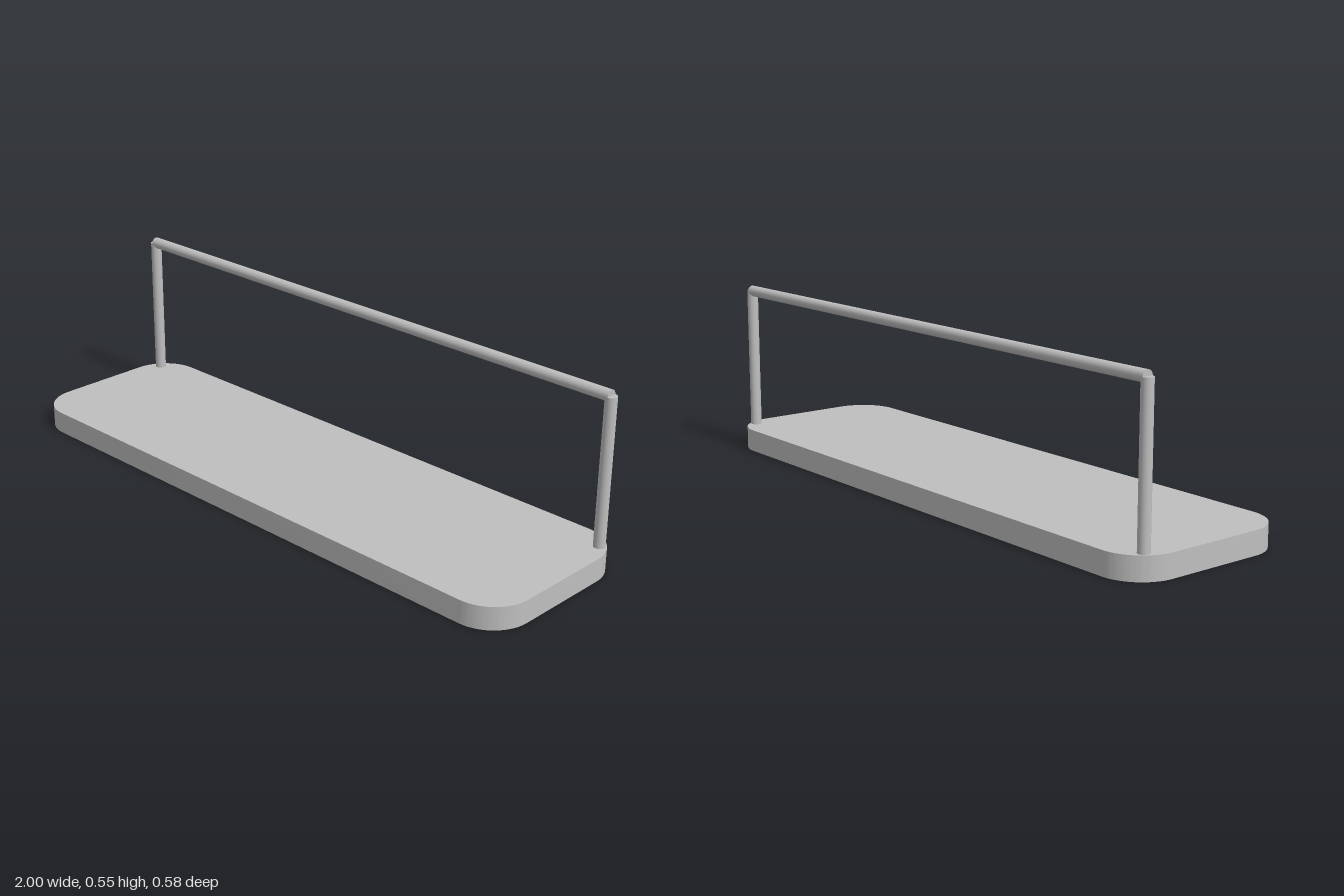
import * as THREE from 'three';
import { toCreasedNormals } from 'three/addons/utils/BufferGeometryUtils.js';

const BASE_HEIGHT = 0.072;
const ROD_RADIUS = 0.018;
const RAIL_Y = 0.535;
const RAIL_Z = -0.222;
const POST_X = 0.957;

// Flat slab with rounded corners in plan
function roundedSlab(halfX, halfZ, radius, height) {
  const shape = new THREE.Shape();
  const cx = halfX - radius, cz = halfZ - radius;
  shape.absarc(cx, cz, radius, 0, Math.PI / 2);
  shape.absarc(-cx, cz, radius, Math.PI / 2, Math.PI);
  shape.absarc(-cx, -cz, radius, Math.PI, Math.PI * 1.5);
  shape.absarc(cx, -cz, radius, Math.PI * 1.5, Math.PI * 2);
  shape.closePath();
  const slab = new THREE.ExtrudeGeometry(shape, { depth: height, bevelEnabled: false, curveSegments: 16 });
  slab.rotateX(-Math.PI / 2);
  return toCreasedNormals(slab, Math.PI / 6);
}

export function createModel() {
  const model = new THREE.Group();
  const grey = new THREE.MeshStandardMaterial({ color: 0xbfbfbf });
  grey.name = 'grey';

  const add = (name, geometry, x, y, z) => {
    const mesh = new THREE.Mesh(geometry, grey);
    mesh.name = name;
    mesh.position.set(x, y, z);
    model.add(mesh);
    return mesh;
  };

  // Shelf board
  add('board', roundedSlab(1, 0.288, 0.13, BASE_HEIGHT), 0, 0, 0);

  // Upright posts at the back corners
  const postHeight = RAIL_Y - BASE_HEIGHT;
  for (const [name, side] of [['leftPost', 1], ['rightPost', -1]]) {
    const post = new THREE.CylinderGeometry(ROD_RADIUS, ROD_RADIUS, postHeight, 32);
    add(name, post, side * POST_X, BASE_HEIGHT + postHeight / 2, RAIL_Z);
  }

  // Rail lying across the post tops
  const rail = new THREE.CylinderGeometry(ROD_RADIUS, ROD_RADIUS, POST_X * 2, 32);
  add('rail', rail, 0, RAIL_Y, RAIL_Z).rotation.z = Math.PI / 2;

  return model;
}
